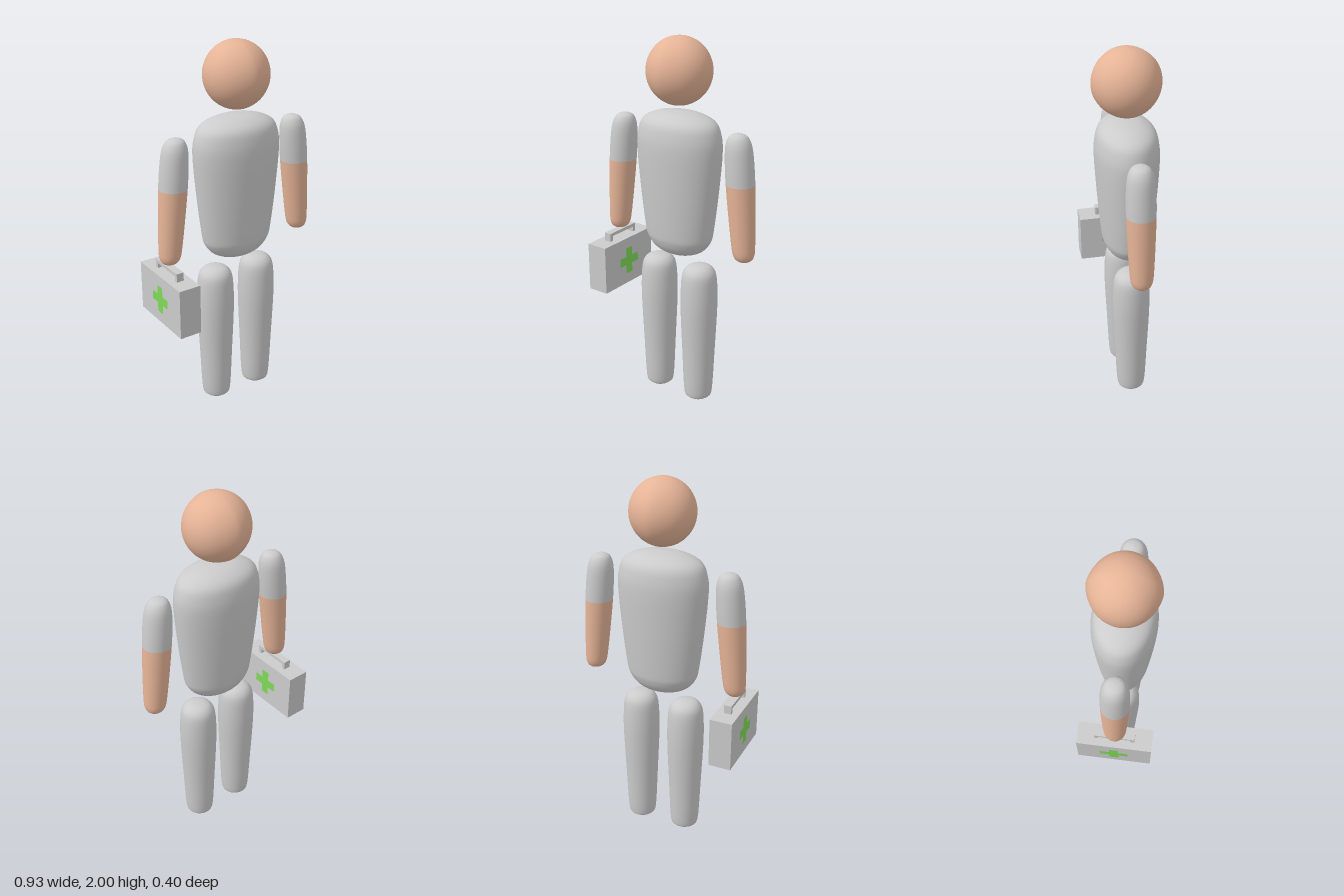
import * as THREE from 'three';

const grey = new THREE.MeshStandardMaterial({ color: 0xcccccc });
const skin = new THREE.MeshStandardMaterial({ color: 0xe6b497 });
const green = new THREE.MeshStandardMaterial({ color: 0x7ed957 });

const STEPS = 5; // samples between neighbouring profile points

function mesh(name, geometry, material) {
  const m = new THREE.Mesh(geometry, material);
  m.name = name;
  return m;
}

// smooth profile through [radius, y] points, bottom to top
function profile(points) {
  const curve = new THREE.SplineCurve(points.map(p => new THREE.Vector2(...p)));
  const out = curve.getPoints((points.length - 1) * STEPS);
  out.forEach(p => { p.x = Math.max(p.x, 0); });
  return out;
}

const TORSO = [[0, 0.85], [0.08, 0.86], [0.145, 0.89], [0.185, 0.94], [0.2, 1.0], [0.224, 1.2],
  [0.242, 1.42], [0.234, 1.52], [0.2, 1.583], [0.11, 1.619], [0, 1.629]];
const ARM = [[0, 0.905], [0.035, 0.913], [0.054, 0.94], [0.061, 1.0], [0.068, 1.15], [0.073, 1.31],
  [0.072, 1.42], [0.066, 1.5], [0.051, 1.543], [0.03, 1.561], [0, 1.567]];
const ARM_SPLIT = 5; // profile point where the sleeve ends
const LEG = [[0, 0.004], [0.04, 0.008], [0.063, 0.023], [0.078, 0.06], [0.089, 0.3], [0.099, 0.55],
  [0.098, 0.68], [0.09, 0.76], [0.07, 0.796], [0.04, 0.812], [0, 0.817]];

// ball with a slight ridge front and back along the middle
function createHead() {
  const g = new THREE.SphereGeometry(1, 64, 40);
  const p = g.attributes.position;
  for (let i = 0; i < p.count; i++) {
    const x = p.getX(i), z = p.getZ(i);
    const side = Math.abs(x) / (Math.hypot(x, z) || 1);
    p.setZ(i, z * (1 + 0.045 * Math.max(0, 1 - side / 0.5)));
  }
  g.scale(0.169, 0.172, 0.166);
  g.translate(0.002, 1.828, 0);
  g.computeVertexNormals();
  return mesh('head', g, skin);
}

// sleeve and bare forearm, slanting outwards towards the hand
function createArm(side) {
  const arm = new THREE.Group();
  arm.name = side > 0 ? 'leftArm' : 'rightArm';
  const pts = profile(ARM);
  const cut = ARM_SPLIT * STEPS;
  const slant = new THREE.Matrix4().set(
    1, -0.083 * side, 0, 0.483 * side,
    0, 1, 0, 0,
    0, 0, 1, 0,
    0, 0, 0, 1);
  for (const [name, part, material] of [
    ['forearm', pts.slice(0, cut + 1), skin],
    ['sleeve', pts.slice(cut), grey],
  ]) {
    arm.add(mesh(name, new THREE.LatheGeometry(part, 40).applyMatrix4(slant), material));
  }
  return arm;
}

// first-aid case held below the right hand
function createCase() {
  const box = new THREE.Group();
  box.name = 'firstAidCase';
  box.position.set(-0.41, 0.715, 0);
  box.add(mesh('caseBody', new THREE.BoxGeometry(0.12, 0.27, 0.4), grey));

  // handle: two posts and a bar
  for (const s of [-1, 1]) {
    const post = mesh('handlePost', new THREE.BoxGeometry(0.04, 0.03, 0.02), grey);
    post.position.set(0, 0.15, s * 0.097);
    box.add(post);
  }
  const bar = mesh('handleBar', new THREE.BoxGeometry(0.04, 0.018, 0.214), grey);
  bar.position.y = 0.172;
  box.add(bar);

  // flat cross on each broad face
  const a = 0.025, b = 0.076;
  const cross = new THREE.Shape([
    [a, b], [-a, b], [-a, a], [-b, a], [-b, -a], [-a, -a],
    [-a, -b], [a, -b], [a, -a], [b, -a], [b, a], [a, a],
  ].map(p => new THREE.Vector2(...p)));
  for (const s of [-1, 1]) {
    const emblem = mesh('cross', new THREE.ShapeGeometry(cross), green);
    emblem.rotation.y = s * Math.PI / 2;
    emblem.position.x = s * 0.0615;
    box.add(emblem);
  }
  return box;
}

export function createModel() {
  const model = new THREE.Group();
  model.name = 'medic';
  model.add(createHead());

  const torso = new THREE.LatheGeometry(profile(TORSO), 64);
  torso.scale(1, 1, 0.67);
  torso.translate(0.002, 0, 0);
  model.add(mesh('torso', torso, grey));

  for (const side of [-1, 1]) {
    model.add(createArm(side));
    const leg = mesh(side > 0 ? 'leftLeg' : 'rightLeg', new THREE.LatheGeometry(profile(LEG), 40), grey);
    leg.position.x = side * 0.133;
    model.add(leg);
  }

  model.add(createCase());
  return model;
}
